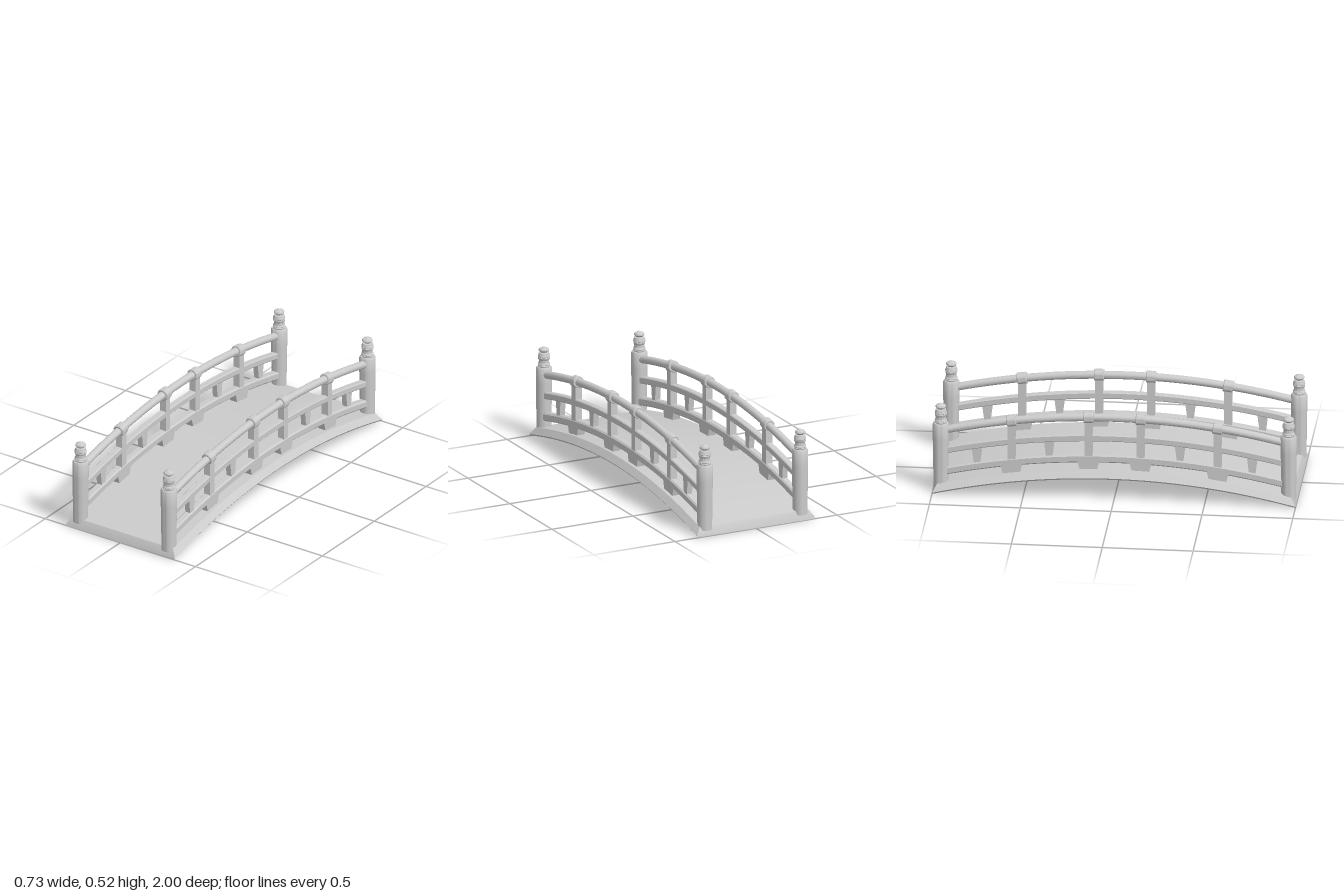
import * as THREE from 'three';
import { toCreasedNormals } from 'three/addons/utils/BufferGeometryUtils.js';

const material = new THREE.MeshStandardMaterial({ color: 0xcccccc });
const RAIL_X = 0.294;
const arch = (z) => 0.125 * (1 - z * z);

// Move every vertex by a rule
function reshape(geometry, rule) {
  const p = geometry.attributes.position;
  const v = new THREE.Vector3();
  for (let i = 0; i < p.count; i++) {
    rule(v.fromBufferAttribute(p, i));
    p.setXYZ(i, v.x, v.y, v.z);
  }
  return geometry;
}

// Lift a geometry onto the bridge's curve, keeping hard edges sharp
function bend(geometry) {
  reshape(geometry, (v) => { v.y += arch(v.z); });
  return toCreasedNormals(geometry, 0.6);
}

// Run an x-y outline along z, centred on z = 0
function sweep(points, length, steps) {
  const shape = new THREE.Shape(points.map(([x, y]) => new THREE.Vector2(x, y)));
  const geometry = new THREE.ExtrudeGeometry(shape, { depth: length, steps, bevelEnabled: false });
  return geometry.translate(0, 0, -length / 2);
}

// Bar outline with small chamfers
function barOutline(w, h, c, y) {
  const a = w / 2, b = h / 2;
  return [[-a + c, -b], [a - c, -b], [a, -b + c], [a, b - c], [a - c, b], [-a + c, b], [-a, b - c], [-a, -b + c]]
    .map(([px, py]) => [px, py + y]);
}

// Block from y0 to y1 above the curve, with its own length at bottom and top
function block(width, y0, y1, bottom, top, z) {
  const geometry = new THREE.BoxGeometry(width, y1 - y0, 1, 1, 1, 4);
  reshape(geometry, (v) => {
    v.z = v.z * (v.y < 0 ? bottom : top) + z;
    v.y += (y0 + y1) / 2;
  });
  return bend(geometry);
}

function add(parent, name, geometry) {
  const mesh = new THREE.Mesh(geometry, material);
  mesh.name = name;
  parent.add(mesh);
  return mesh;
}

function lathe(points, segments = 32) {
  const profile = points.map(([r, y]) => new THREE.Vector2(r, y));
  return toCreasedNormals(new THREE.LatheGeometry(profile, segments), 0.6);
}

function createRailing() {
  const railing = new THREE.Group();

  // Curved rails
  const circle = Array.from({ length: 16 }, (_, i) => {
    const a = (i / 16) * Math.PI * 2;
    return [0.022 * Math.cos(a), 0.345 + 0.022 * Math.sin(a)];
  });
  add(railing, 'handrail', bend(sweep(circle, 1.9, 40)));
  add(railing, 'middleRail', bend(sweep(barOutline(0.04, 0.038, 0.005, 0.227), 1.9, 40)));
  add(railing, 'lowerRail', bend(sweep(barOutline(0.046, 0.046, 0.008, 0.105), 1.9, 40)));

  // Uprights with a foot and a collar round the handrail
  const collar = lathe([[0, -0.027], [0.029, -0.027], [0.033, -0.023], [0.033, 0.023], [0.029, 0.027], [0, 0.027]], 24);
  collar.rotateX(Math.PI / 2);
  for (const z of [-0.567, -0.143, 0.143, 0.567]) {
    add(railing, 'upright', block(0.04, 0.04, 0.335, 0.043, 0.043, z));
    add(railing, 'uprightFoot', block(0.046, 0.04, 0.09, 0.095, 0.12, z));
    const ring = add(railing, 'collar', collar);
    ring.position.set(0, arch(z) + 0.345, z);
    ring.rotation.x = Math.atan(0.25 * z);
  }

  // Tapered struts between the lower and middle rails
  for (const z of [-0.757, -0.36, 0.36, 0.757]) {
    add(railing, 'strut', block(0.032, 0.12, 0.215, 0.034, 0.057, z));
  }

  // End posts and their turned finials
  const post = lathe([[0, 0.03], [0.041, 0.03], [0.041, 0.06], [0.043, 0.2], [0.045, 0.31],
    [0.045, 0.394], [0.039, 0.404], [0, 0.404]]);
  const finial = lathe([[0.031, 0.402], [0.034, 0.407], [0.034, 0.411], [0.031, 0.414], [0.034, 0.417],
    [0.033, 0.422], [0.029, 0.427], [0.028, 0.443], [0.032, 0.448], [0.033, 0.456], [0.031, 0.459],
    [0.034, 0.462], [0.033, 0.468], [0.031, 0.472], [0.028, 0.483], [0.018, 0.485], [0.018, 0.487],
    [0.024, 0.491], [0.029, 0.497], [0.029, 0.502], [0.025, 0.508], [0.012, 0.513], [0.005, 0.517], [0, 0.521]]);
  for (const z of [-0.957, 0.957]) {
    add(railing, 'endPost', post).position.z = z;
    add(railing, 'finial', finial).position.z = z;
  }
  return railing;
}

export function createModel() {
  const bridge = new THREE.Group();
  bridge.name = 'archedBridge';

  // Deck with sloping edges on all four sides
  const deck = sweep([[-0.355, 0], [0.355, 0], [0.363, 0.01], [0.335, 0.045], [-0.335, 0.045], [-0.363, 0.01]], 2, 48);
  reshape(deck, (v) => { v.z *= 1 - 0.025 * Math.max(0, v.y - 0.01) / 0.035; });
  add(bridge, 'deck', bend(deck));

  // A railing along each side
  for (const [name, side] of [['leftRailing', 1], ['rightRailing', -1]]) {
    const railing = createRailing();
    railing.name = name;
    railing.position.x = side * RAIL_X;
    bridge.add(railing);
  }
  return bridge;
}
